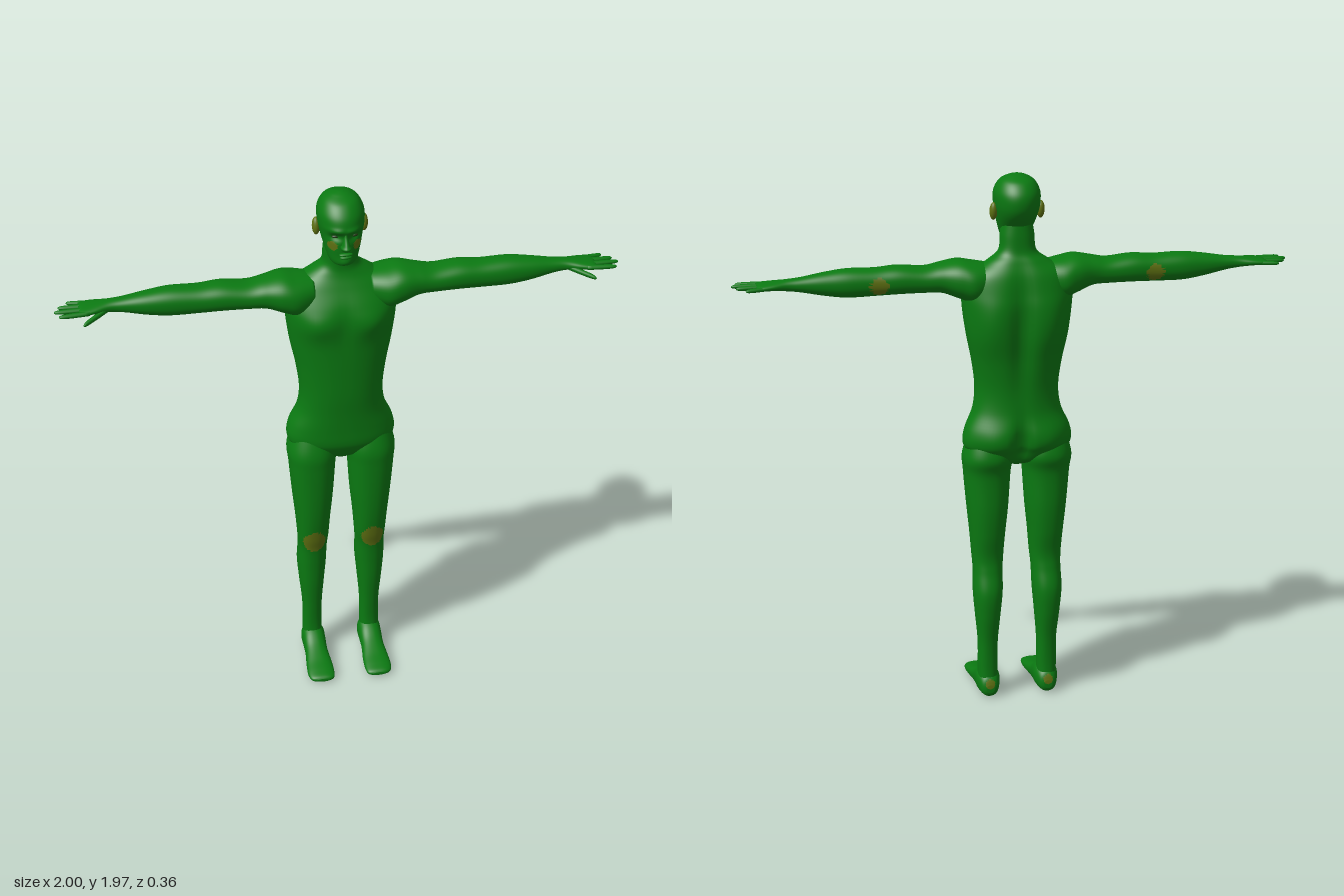
import * as THREE from 'three';

const skin = new THREE.MeshStandardMaterial({ color: 0x0b7a12 });
skin.name = 'green skin';
const patch = new THREE.MeshStandardMaterial({ color: 0x5f7212 });
patch.name = 'olive patch';
const dark = new THREE.MeshStandardMaterial({ color: 0x1f3a12 });
dark.name = 'dark eye';

// For each sweep axis: which coordinates (0 x, 1 y, 2 z) are u, v and the axis itself.
const AXES = { x: [1, 2, 0], y: [2, 0, 1], z: [0, 1, 2] };

function spline(rows, s) {
  const i = Math.min(Math.floor(s), rows.length - 2), f = s - i;
  const at = k => rows[Math.max(0, Math.min(rows.length - 1, k))];
  const [a, b, c, d] = [at(i - 1), at(i), at(i + 1), at(i + 2)];
  return b.map((_, k) => 0.5 * (2 * b[k] + (c[k] - a[k]) * f + (2 * a[k] - 5 * b[k] + 4 * c[k] - d[k]) * f * f
    + (3 * b[k] - a[k] - 3 * c[k] + d[k]) * f * f * f));
}

// Smooth body through rows of [position, uMin, uMax, vMin, vMax].
// warp(p) moves a point, isPatch(p) paints a face, mirror reflects it in x.
function loft(name, axis, rows, { sides = 48, steps = 6, power = 0.88, warp, isPatch, mirror } = {}) {
  const [U, V, T] = AXES[axis], pts = [], n = (rows.length - 1) * steps;
  const up = rows[rows.length - 1][0] > rows[0][0];
  const add = (t, u, v) => {
    const p = [0, 0, 0];
    p[T] = t; p[U] = u; p[V] = v;
    if (warp) warp(p);
    if (mirror) p[0] = -p[0];
    pts.push(p);
  };
  const bulge = a => Math.sign(a) * Math.abs(a) ** power;
  for (let j = 0; j <= n; j++) {
    const [t, u0, u1, v0, v1] = spline(rows, j / steps);
    for (let i = 0; i < sides; i++) {
      const a = i / sides * Math.PI * 2;
      add(t, (u0 + u1) / 2 + bulge(Math.cos(a)) * (u1 - u0) / 2, (v0 + v1) / 2 + bulge(Math.sin(a)) * (v1 - v0) / 2);
    }
  }
  for (const r of [rows[0], rows[rows.length - 1]]) add(r[0], (r[1] + r[2]) / 2, (r[3] + r[4]) / 2);
  const plain = [], painted = [];
  const tri = (a, b, c) => {
    const m = [0, 1, 2].map(k => (pts[a][k] + pts[b][k] + pts[c][k]) / 3);
    (isPatch && isPatch(m) ? painted : plain).push(...(up !== !!mirror ? [a, b, c] : [a, c, b]));
  };
  const last = n * sides, c0 = pts.length - 2, c1 = pts.length - 1;
  for (let i = 0; i < sides; i++) {
    const k = (i + 1) % sides;
    for (let j = 0; j < n; j++) {
      const a = j * sides + i, b = j * sides + k;
      tri(a, b, b + sides);
      tri(a, b + sides, a + sides);
    }
    tri(c0, k, i);
    tri(c1, last + i, last + k);
  }
  const g = new THREE.BufferGeometry();
  g.setAttribute('position', new THREE.Float32BufferAttribute(pts.flat(), 3));
  g.setIndex([...plain, ...painted]);
  g.addGroup(0, plain.length, 0);
  if (painted.length) g.addGroup(plain.length, painted.length, 1);
  g.computeVertexNormals();
  const mesh = new THREE.Mesh(g, [skin, patch]);
  mesh.name = name;
  return mesh;
}

function blob(name, material, pos, size, tilt = 0) {
  const m = new THREE.Mesh(new THREE.SphereGeometry(1, 24, 16), material);
  m.name = name;
  m.position.set(...pos);
  m.scale.set(...size);
  m.rotation.x = tilt;
  return m;
}

const hill = (a, b, ra, rb) => Math.exp(-((a / ra) ** 2) - (b / rb) ** 2);

// Spine groove, chest muscles, shoulder blades and buttocks.
function shapeTorso(p) {
  const [x, y, z] = p, ax = Math.abs(x);
  if (z > -0.03) {
    p[2] += 0.014 * hill(ax - 0.1, y - 1.5, 0.06, 0.05) - 0.006 * hill(x, y - 1.5, 0.03, 0.08);
  } else {
    p[2] += 0.022 * hill(x, y - 1.42, 0.035, 0.2) + 0.03 * hill(x, y - 1.0, 0.025, 0.08);
    p[2] -= 0.014 * hill(ax - 0.11, y - 1.46, 0.06, 0.11) + 0.012 * hill(ax - 0.095, y - 1.01, 0.06, 0.06);
  }
}

// Eye sockets, brow and chin.
function shapeHead(p) {
  const [x, y, z] = p, ax = Math.abs(x);
  if (z < 0) return;
  p[2] += -0.014 * hill(ax - 0.032, y - 1.842, 0.02, 0.014) + 0.006 * hill(ax - 0.03, y - 1.868, 0.03, 0.01)
    + 0.006 * hill(x, y - 1.745, 0.025, 0.016);
}

function addArm(group, mirror) {
  group.add(loft('arm', 'x', [
    [0.10, 1.54, 1.655, -0.13, 0.02], [0.16, 1.52, 1.665, -0.15, 0.045], [0.21, 1.535, 1.672, -0.14, 0.045],
    [0.27, 1.557, 1.662, -0.118, 0.03], [0.33, 1.56, 1.652, -0.11, 0.022], [0.42, 1.56, 1.66, -0.108, 0.018],
    [0.50, 1.558, 1.655, -0.102, 0.012], [0.60, 1.557, 1.657, -0.10, 0.008], [0.68, 1.567, 1.648, -0.09, 0],
    [0.76, 1.583, 1.635, -0.078, -0.013], [0.81, 1.59, 1.63, -0.075, -0.015], [0.86, 1.595, 1.625, -0.085, 0],
    [0.90, 1.597, 1.62, -0.088, 0.008], [0.915, 1.603, 1.615, -0.08, 0]],
  { mirror, isPatch: p => p[2] < -0.06 && Math.hypot(Math.abs(p[0]) - 0.495, p[1] - 1.6) < 0.032 }));
  // Each digit: root x, y, z, then tip x, y, z and radius.
  const digits = [
    [0.88, 1.608, -0.077, 0.955, 1.606, -0.09, 0.009], [0.88, 1.609, -0.052, 0.985, 1.608, -0.057, 0.01],
    [0.88, 1.609, -0.027, 1.0, 1.609, -0.027, 0.01], [0.88, 1.608, -0.003, 0.985, 1.608, 0.006, 0.01],
    [0.815, 1.604, -0.03, 0.905, 1.583, 0.034, 0.012]];
  for (const [x0, y0, z0, x1, y1, z1, r] of digits) {
    const rows = [[0, 1], [0.5, 1], [0.85, 0.85], [0.97, 0.5], [1, 0.1]].map(([f, k]) => {
      const y = y0 + (y1 - y0) * f, z = z0 + (z1 - z0) * f;
      return [x0 + (x1 - x0) * f, y - r * k * 0.85, y + r * k * 0.85, z - r * k, z + r * k];
    });
    group.add(loft('finger', 'x', rows, { mirror, sides: 12, steps: 3, power: 1 }));
  }
}

function addLeg(group, mirror) {
  group.add(loft('leg', 'y', [
    [1.04, -0.13, 0.02, 0.04, 0.17], [0.95, -0.155, 0.048, 0.018, 0.198], [0.88, -0.138, 0.05, 0.024, 0.194],
    [0.75, -0.135, 0.046, 0.033, 0.183], [0.65, -0.125, 0.038, 0.043, 0.173], [0.56, -0.11, 0.024, 0.05, 0.166],
    [0.50, -0.115, 0.01, 0.055, 0.163], [0.42, -0.132, 0.003, 0.057, 0.165], [0.33, -0.125, -0.003, 0.065, 0.158],
    [0.22, -0.105, -0.015, 0.074, 0.148], [0.12, -0.098, -0.022, 0.075, 0.148], [0.04, -0.10, -0.015, 0.075, 0.148]],
  { mirror, steps: 8, isPatch: p => p[2] > -0.04 && Math.hypot((Math.abs(p[0]) - 0.11) / 0.042, (p[1] - 0.55) / 0.05) < 1 }));
  group.add(loft('foot', 'z', [
    [-0.11, 0.095, 0.125, 0.02, 0.05], [-0.098, 0.078, 0.142, 0.004, 0.08], [-0.06, 0.066, 0.154, 0, 0.108],
    [-0.02, 0.066, 0.154, 0, 0.098], [0.03, 0.067, 0.153, 0, 0.07], [0.09, 0.061, 0.159, 0, 0.048],
    [0.14, 0.06, 0.161, 0, 0.036], [0.17, 0.066, 0.152, 0.003, 0.028], [0.18, 0.085, 0.13, 0.008, 0.02]],
  { mirror, warp: p => { p[1] = Math.max(0, p[1]); },
    isPatch: p => p[2] < -0.085 && Math.hypot(Math.abs(p[0]) - 0.11, p[1] - 0.055) < 0.018 }));
}

export function createModel() {
  const model = new THREE.Group();
  model.name = 'figure';

  // Torso, running up into the neck
  model.add(loft('torso', 'y', [
    [0.905, -0.08, -0.01, -0.015, 0.015], [0.93, -0.125, 0.02, -0.10, 0.10], [0.97, -0.15, 0.042, -0.18, 0.18],
    [1.0, -0.165, 0.05, -0.198, 0.198], [1.05, -0.168, 0.052, -0.19, 0.19], [1.12, -0.155, 0.055, -0.16, 0.16],
    [1.2, -0.153, 0.06, -0.151, 0.151], [1.3, -0.163, 0.062, -0.163, 0.163], [1.4, -0.176, 0.064, -0.183, 0.183],
    [1.5, -0.178, 0.068, -0.196, 0.196], [1.56, -0.17, 0.055, -0.197, 0.197], [1.62, -0.157, 0.022, -0.175, 0.175],
    [1.665, -0.137, 0, -0.11, 0.11], [1.70, -0.12, -0.006, -0.067, 0.067], [1.76, -0.115, 0, -0.06, 0.06],
    [1.82, -0.11, 0, -0.05, 0.05]], { sides: 72, warp: shapeTorso }));

  // Head with olive cheeks
  model.add(loft('head', 'y', [
    [1.725, -0.03, 0.03, -0.022, 0.022], [1.738, -0.06, 0.048, -0.046, 0.046], [1.78, -0.10, 0.053, -0.062, 0.062],
    [1.83, -0.145, 0.056, -0.074, 0.074], [1.87, -0.16, 0.06, -0.081, 0.081], [1.91, -0.156, 0.05, -0.08, 0.08],
    [1.945, -0.13, 0.02, -0.062, 0.062], [1.963, -0.09, -0.02, -0.034, 0.034], [1.97, -0.06, -0.045, -0.008, 0.008]],
  { sides: 72, steps: 10, power: 0.95, warp: shapeHead,
    isPatch: p => p[2] > 0 && Math.hypot((Math.abs(p[0]) - 0.043) / 0.016, (p[1] - 1.808) / 0.017) < 1 }));
  model.add(loft('nose', 'y', [
    [1.862, 0.03, 0.058, -0.006, 0.006], [1.845, 0.03, 0.064, -0.008, 0.008], [1.82, 0.03, 0.08, -0.013, 0.013],
    [1.808, 0.03, 0.086, -0.019, 0.019], [1.797, 0.035, 0.072, -0.014, 0.014]], { sides: 24, power: 1 }));
  model.add(blob('upper lip', skin, [0, 1.779, 0.054], [0.024, 0.006, 0.01]));
  model.add(blob('lower lip', skin, [0, 1.767, 0.052], [0.021, 0.006, 0.01]));

  for (const side of [1, -1]) {
    model.add(blob('eye', dark, [side * 0.032, 1.842, 0.032], [0.014, 0.006, 0.009]));
    model.add(blob('ear', patch, [side * 0.084, 1.84, -0.06], [0.014, 0.032, 0.017], -0.15));
    const arm = new THREE.Group(), leg = new THREE.Group();
    arm.name = side > 0 ? 'left arm' : 'right arm';
    leg.name = side > 0 ? 'left leg' : 'right leg';
    addArm(arm, side < 0);
    addLeg(leg, side < 0);
    model.add(arm, leg);
  }
  return model;
}
